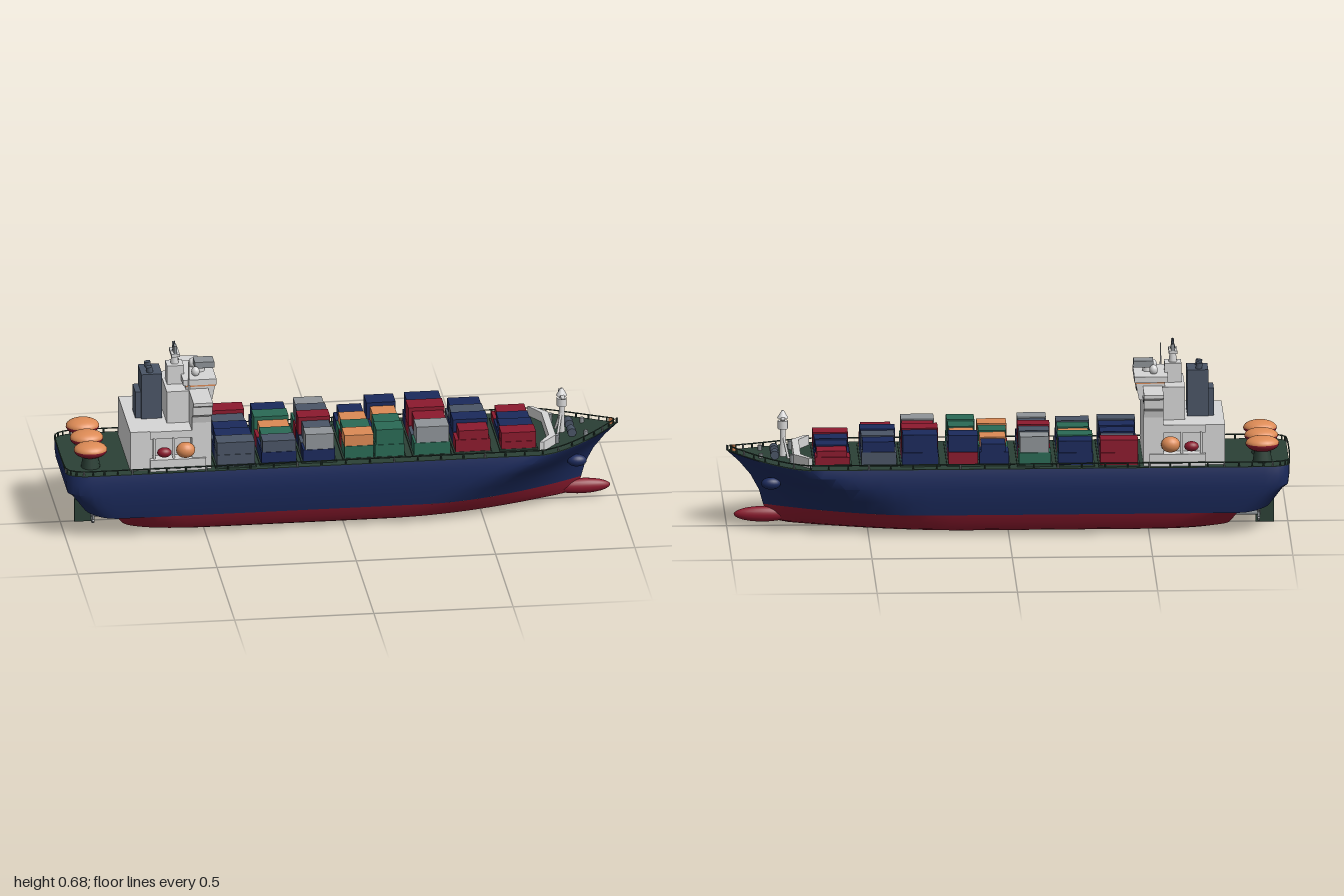
import * as THREE from 'three';
import { toCreasedNormals } from 'three/addons/utils/BufferGeometryUtils.js';

const mat = (name, color) => Object.assign(new THREE.MeshStandardMaterial({ color }), { name });

// Hull waterlines: height, stern x, bow x, half beam, start of bow taper, stern rounding length, transom width ratio, taper power
const RED = [
  [0.012, -0.74, 0.78, 0.145, 0.15, 0.25, 0.5, 1.7],
  [0.022, -0.79, 0.83, 0.166, 0.2, 0.25, 0.5, 1.7],
  [0.05, -0.81, 0.86, 0.184, 0.25, 0.2, 0.55, 1.7],
  [0.08, -0.83, 0.87, 0.195, 0.3, 0.15, 0.6, 1.7],
];
const BLUE = [
  [0.08, -0.93, 0.87, 0.195, 0.3, 0.12, 0.7, 1.7],
  [0.13, -0.98, 0.885, 0.207, 0.4, 0.1, 0.75, 1.7],
  [0.18, -0.995, 0.915, 0.212, 0.55, 0.08, 0.78, 1.6],
  [0.22, -1, 0.955, 0.212, 0.66, 0.08, 0.78, 1.5],
  [0.25, -1, 1, 0.207, 0.71, 0.08, 0.78, 1.35],
];
const N = 44;

// Point on the port (+z) side of a waterline, u from stern to bow
function hullPoint([y, xs, xe, w, xt, len, frac, p], u, inset = 0) {
  const x = xs + (xe - xs) * (1 - Math.cos(Math.PI * u)) / 2;
  const s = Math.max(0, (x - xt) / (xe - xt));
  const t = Math.min(1, (x - xs) / len);
  const round = frac + (1 - frac) * Math.sqrt(1 - (1 - t) ** 2);
  const z = w * round * (1 - Math.min(1, s) ** p);
  const bow = 0.028 * Math.max(0, (x - 0.7) / 0.3) ** 2 * Math.max(0, (y - 0.08) / 0.17);
  const stern = y < 0.15 ? 0.03 * Math.max(0, (-0.82 - x) / 0.14) ** 2 : 0;
  return new THREE.Vector3(x, y + bow + stern, Math.max(0, z - inset));
}

// Skin stacked waterlines; optional flat caps
function loft(levels, bottom, top) {
  const pos = [];
  const tri = (...v) => v.forEach(q => pos.push(q.x, q.y, q.z));
  const flip = v => new THREE.Vector3(v.x, v.y, -v.z);
  const rows = levels.map(l => {
    const side = Array.from({ length: N + 1 }, (_, i) => hullPoint(l, i / N));
    return [...side, ...side.slice(0, N).reverse().map(flip)];
  });
  for (let j = 0; j < rows.length - 1; j++) {
    const a = rows[j], b = rows[j + 1];
    a.forEach((v, i) => {
      const k = (i + 1) % a.length;
      tri(v, a[k], b[k]);
      tri(v, b[k], b[i]);
    });
  }
  const cap = (r, up) => {
    for (let i = 0; i < N; i++) {
      const a = r[i], b = r[i + 1], c = flip(b), d = flip(a);
      if (up) { tri(a, b, c); tri(a, c, d); } else { tri(c, b, a); tri(d, c, a); }
    }
  };
  if (bottom) cap(rows[0], false);
  if (top) cap(rows[rows.length - 1], true);
  const g = new THREE.BufferGeometry();
  g.setAttribute('position', new THREE.Float32BufferAttribute(pos, 3));
  return toCreasedNormals(g, 0.6);
}

export function createModel() {
  const M = {
    navy: mat('navy', 0x1b2a5c), red: mat('red', 0x8c1a2e), deck: mat('deckGreen', 0x2b4036),
    white: mat('white', 0xd6d6d6), green: mat('containerGreen', 0x2a6a55), slate: mat('slate', 0x4a5566),
    orange: mat('orange', 0xdc8a55), grey: mat('grey', 0x8f9498), dark: mat('darkGlass', 0x2a2e36),
  };
  const root = new THREE.Group();
  root.name = 'cargoShip';
  const add = (name, geo, m, x = 0, y = 0, z = 0, parent = root) => {
    const o = new THREE.Mesh(geo, m);
    o.name = name;
    o.position.set(x, y, z);
    parent.add(o);
    return o;
  };
  // Box given by its extents
  const box = (name, m, x0, x1, y0, y1, z0, z1, parent) =>
    add(name, new THREE.BoxGeometry(x1 - x0, y1 - y0, z1 - z0), m, (x0 + x1) / 2, (y0 + y1) / 2, (z0 + z1) / 2, parent);
  const rod = (name, m, a, b, r, r2 = r, seg = 6) => {
    const A = new THREE.Vector3(...a), d = new THREE.Vector3(...b).sub(A);
    const o = add(name, new THREE.CylinderGeometry(r2, r, d.length(), seg), m);
    o.position.copy(A).addScaledVector(d, 0.5);
    o.quaternion.setFromUnitVectors(new THREE.Vector3(0, 1, 0), d.normalize());
    return o;
  };
  const ball = (name, m, x, y, z, rx, ry, rz, t0 = 0, t1 = Math.PI) => {
    const o = add(name, new THREE.SphereGeometry(1, 20, 12, 0, Math.PI * 2, t0, t1), m, x, y, z);
    o.scale.set(rx, ry, rz);
    return o;
  };

  // Hull, deck and bulb
  add('lowerHull', loft(RED, true, false), M.red);
  add('upperHull', loft(BLUE, true, false), M.navy);
  const top = BLUE[BLUE.length - 1];
  add('deck', loft([[...top].with(0, 0.249), [...top].with(0, 0.252)], false, true), M.deck);
  ball('bulbousBow', M.red, 0.87, 0.043, 0, 0.105, 0.028, 0.024);

  // Railing around the deck edge
  const rail = [];
  for (let i = 0; i <= 36; i++) {
    const v = hullPoint(top, i / 36, 0.006);
    rail.push(v.clone().setY(v.y + 0.018));
    for (const s of i === 36 ? [1] : [1, -1])
      rod('railPost', i % 4 ? M.deck : M.grey, [v.x, v.y, s * v.z], [v.x, v.y + 0.019, s * v.z], 0.003, 0.003, 4);
  }
  const loop = [...rail, ...rail.slice(0, -1).reverse().map(v => new THREE.Vector3(v.x, v.y, -v.z))];
  add('rail', new THREE.TubeGeometry(new THREE.CatmullRomCurve3(loop, true, 'centripetal'), 160, 0.0025, 4, true), M.deck);

  // Anchors, rudder, propellers
  for (const s of [1, -1]) {
    ball('anchorPocket', M.navy, 0.845, 0.175, s * 0.083, 0.035, 0.022, 0.022);
    rod('propellerShaft', M.grey, [-0.78, 0.05, s * 0.07], [-0.9, 0.05, s * 0.07], 0.008);
    for (let k = 0; k < 4; k++) {
      const b = box('propellerBlade', M.grey, -0.897, -0.889, 0.034, 0.066, s * 0.07 - 0.03, s * 0.07 + 0.03);
      b.scale.set(1, 0.5, 1);
      b.rotation.x = k * Math.PI / 4;
    }
  }
  box('rudder', M.deck, -0.95, -0.885, 0, 0.085, -0.008, 0.008);
  rod('rudderStock', M.grey, [-0.91, 0.07, 0], [-0.91, 0.13, 0], 0.012);

  // Containers: x range, top height, half width, lower and upper tier colours from starboard to port
  const C = { b: M.navy, r: M.red, g: M.green, o: M.orange, s: M.slate, l: M.grey };
  const bays = [
    [-0.46, -0.325, 0.35, 0.19, 'rbsbs', 'rsbbs'],
    [-0.3, -0.175, 0.35, 0.185, 'bgrbb', 'bgogs'],
    [-0.15, -0.035, 0.37, 0.18, 'grbsb', 'lsrsl'],
    [0, 0.105, 0.345, 0.165, 'bgrg', 'bogo'],
    [0.11, 0.215, 0.365, 0.165, 'rbsg', 'bogg'],
    [0.25, 0.38, 0.372, 0.165, 'brsg', 'brrl'],
    [0.4, 0.525, 0.35, 0.155, 'sbbr', 'bsbr'],
    [0.565, 0.69, 0.32, 0.15, 'rbbr', 'rbbr'],
  ];
  const cargo = new THREE.Group();
  cargo.name = 'containers';
  root.add(cargo);
  bays.forEach(([x0, x1, h, w, low, up], n) => {
    box('hatchCover', M.deck, x0 - 0.006, x1 + 0.006, 0.25, 0.258, -w, w, cargo);
    const step = 2 * w / low.length, mid = n === 7 ? 0.285 : 0.303;
    for (let r = 0; r < low.length; r++) {
      const z = -w + r * step, j = ((r * 7 + n * 5) % 4) * 0.004;
      box('lowerContainer', C[low[r]], x0, x1, 0.256, mid, z + 0.002, z + step - 0.002, cargo);
      box('upperContainer', C[up[r]], x0 + j, x1 - j / 2, mid + 0.001, h - j, z + 0.002, z + step - 0.002, cargo);
    }
  });

  // Accommodation block with side galleries for the lifeboats
  box('accommodation', M.white, -0.77, -0.49, 0.25, 0.4, -0.145, 0.145);
  for (const s of [1, -1]) {
    const zs = (a, b) => s > 0 ? [a, b] : [-b, -a];
    box('aftSideHouse', M.white, -0.77, -0.69, 0.25, 0.4, ...zs(0.14, 0.172));
    box('boatDeckRoof', M.white, -0.7, -0.5, 0.372, 0.4, ...zs(0.14, 0.178));
    box('boatDeck', M.white, -0.7, -0.5, 0.25, 0.296, ...zs(0.14, 0.19));
    ball('lifeboat', M.orange, -0.575, 0.335, s * 0.2, 0.034, 0.029, 0.028);
    ball('rescueBoat', M.red, -0.65, 0.325, s * 0.19, 0.026, 0.018, 0.02);
    for (const x of [-0.685, -0.615, -0.535])
      rod('davit', M.white, [x, 0.29, s * 0.175], [x, 0.375, s * 0.175], 0.005);
  }

  // Bridge front with flared wings
  const half = [[0.182, 0.25], [0.182, 0.43], [0.188, 0.455], [0.208, 0.468], [0.21, 0.5], [0.228, 0.51], [0.228, 0.522]];
  const wall = new THREE.Shape([...half, ...half.slice().reverse().map(([z, y]) => [-z, y])].map(p => new THREE.Vector2(...p)));
  const tower = add('bridgeFront', new THREE.ExtrudeGeometry(wall, { depth: 0.07, bevelEnabled: false }), M.white, -0.55);
  tower.rotation.y = Math.PI / 2;
  box('upperHouse', M.white, -0.63, -0.54, 0.39, 0.52, -0.1, 0.1);
  const house = box('wheelhouse', M.white, -0.56, -0.455, 0.47, 0.53, -0.088, 0.088);
  const hp = house.geometry.attributes.position;
  for (let i = 0; i < hp.count; i++) if (hp.getX(i) > 0 && hp.getY(i) < 0) hp.setX(i, hp.getX(i) - 0.012);
  house.geometry.computeVertexNormals();
  box('wheelhouseTrim', M.orange, -0.56, -0.453, 0.53, 0.536, -0.088, 0.088);
  box('wheelhouseRoof', M.white, -0.57, -0.45, 0.536, 0.557, -0.098, 0.09);
  for (const z of [-0.07, -0.045, 0.012, 0.065]) box('wheelhouseWindow', M.dark, -0.46, -0.4565, 0.503, 0.516, z - 0.006, z + 0.006);
  for (const s of [1, -1]) for (const z of [0.125, 0.15, 0.175, 0.195])
    box('wingWindow', M.dark, -0.481, -0.4785, 0.486, 0.495, s * z - 0.006, s * z + 0.006);

  // Funnel
  box('funnel', M.slate, -0.715, -0.64, 0.4, 0.57, -0.05, 0.05);
  box('funnelStep', M.slate, -0.735, -0.7, 0.4, 0.5, -0.04, 0.04);
  for (const z of [-0.025, 0.025]) rod('exhaustPipe', M.slate, [-0.68, 0.56, z], [-0.685, 0.59, z], 0.012, 0.012, 10);

  // Radar mast and aerials
  box('mastBase', M.white, -0.62, -0.56, 0.52, 0.59, -0.03, 0.03);
  rod('radarMast', M.white, [-0.59, 0.58, 0], [-0.59, 0.65, 0], 0.016, 0.008, 8);
  rod('mastTip', M.slate, [-0.59, 0.64, 0], [-0.59, 0.676, 0], 0.01, 0.001, 6);
  box('radarArm', M.white, -0.605, -0.575, 0.625, 0.636, -0.035, 0.035);
  box('radarPanel', M.grey, -0.595, -0.585, 0.636, 0.666, 0.01, 0.034);
  box('radarPanel', M.grey, -0.595, -0.585, 0.636, 0.66, -0.034, -0.022);
  rod('forwardMast', M.white, [-0.5, 0.55, 0], [-0.5, 0.595, 0], 0.02, 0.012, 8);
  box('radarScanner', M.grey, -0.52, -0.45, 0.575, 0.598, -0.028, 0.028);
  ball('satelliteDome', M.white, -0.52, 0.57, 0.042, 0.015, 0.018, 0.015);
  ball('satelliteDome', M.white, -0.52, 0.57, -0.042, 0.015, 0.018, 0.015);
  rod('whipAerial', M.white, [-0.55, 0.52, 0.093], [-0.55, 0.635, 0.093], 0.004, 0.002);

  // Free-standing pods on the stern deck
  for (const z of [-0.12, -0.005, 0.11]) {
    rod('podStand', M.deck, [-0.905, 0.25, z], [-0.905, 0.295, z], 0.035, 0.028, 12);
    ball('podTop', M.orange, -0.905, 0.317, z, 0.06, 0.027, 0.05, 0, Math.PI / 2);
    ball('podBottom', M.red, -0.905, 0.317, z, 0.06, 0.03, 0.05, Math.PI / 2, Math.PI / 2);
  }

  // Breakwater with swept ends
  const bw = new THREE.Shape([[0.765, 0.11], [0.715, 0.17], [0.7, 0.17], [0.74, 0.105], [0.74, -0.105], [0.7, -0.17], [0.715, -0.17], [0.765, -0.11]]
    .map(p => new THREE.Vector2(...p)));
  const bg = add('breakwater', new THREE.ExtrudeGeometry(bw, { depth: 0.038, bevelEnabled: false }), M.white, 0, 0.25);
  bg.rotation.x = -Math.PI / 2;

  // Foremast and foredeck gear
  rod('foremast', M.white, [0.8, 0.25, 0], [0.8, 0.39, 0], 0.012, 0.009, 10);
  for (const z of [-0.035, 0.035]) rod('foremastLeg', M.white, [0.78, 0.25, z], [0.8, 0.34, 0], 0.005);
  rod('mastDrum', M.white, [0.8, 0.355, 0], [0.8, 0.385, 0], 0.018, 0.018, 12);
  rod('mastCone', M.white, [0.8, 0.395, 0], [0.8, 0.422, 0], 0.02, 0.004, 12);
  box('mastCrossbar', M.white, 0.793, 0.807, 0.395, 0.4, -0.05, 0.05);
  for (const s of [1, -1]) {
    rod('windlass', M.slate, [0.83, 0.272, s * 0.02], [0.83, 0.272, s * 0.06], 0.016, 0.016, 10);
    rod('bollard', M.grey, [0.88, 0.255, s * 0.06], [0.88, 0.28, s * 0.06], 0.008, 0.008, 8);
    rod('ventilator', M.grey, [0.77, 0.25, s * 0.1], [0.77, 0.285, s * 0.1], 0.008, 0.01, 8);
  }
  rod('bowLight', M.orange, [0.975, 0.27, 0], [0.975, 0.297, 0], 0.007, 0.007, 8);

  return root;
}
